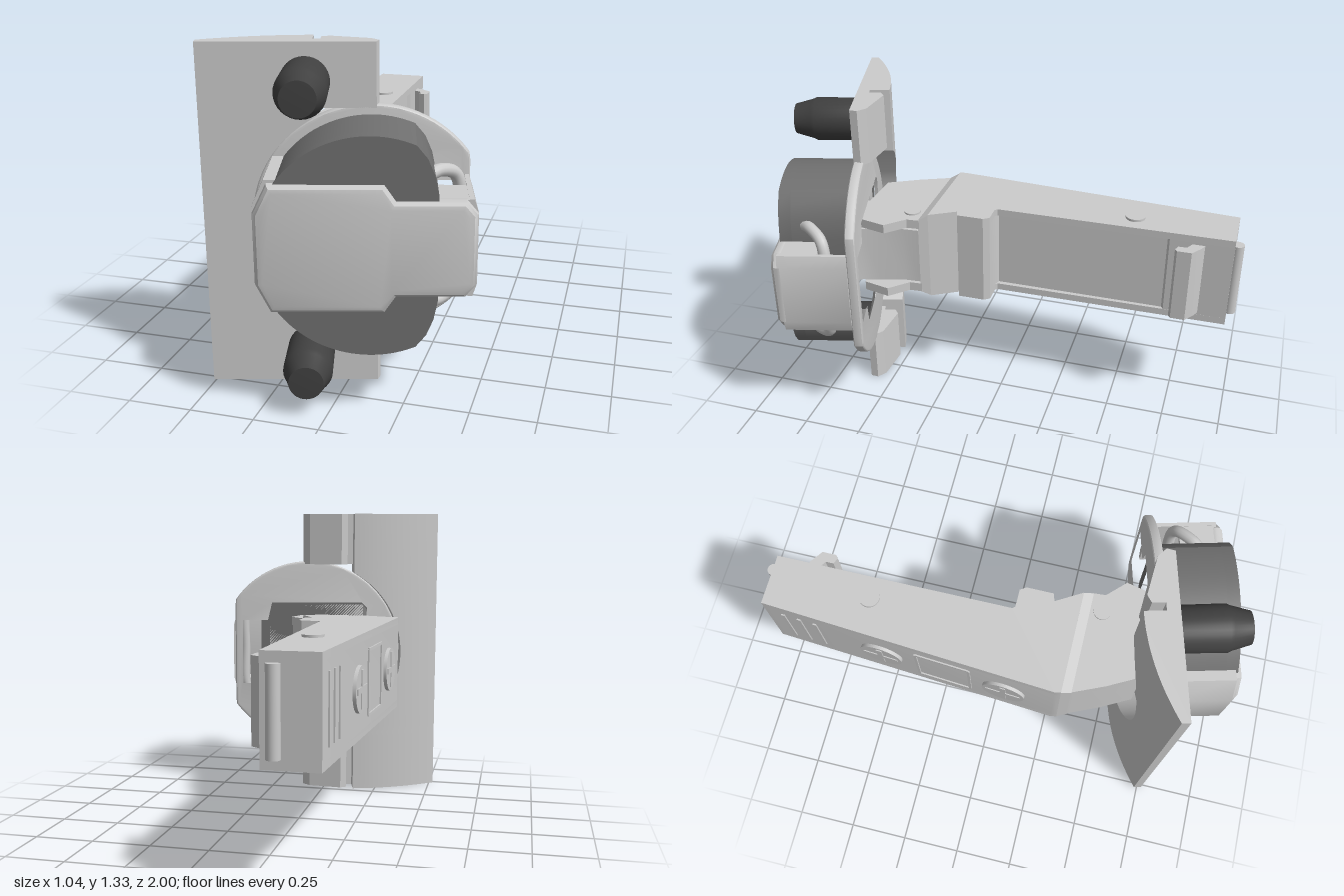
import * as THREE from 'three';
import { toCreasedNormals } from 'three/addons/utils/BufferGeometryUtils.js';
import { ConvexGeometry } from 'three/addons/geometries/ConvexGeometry.js';

const material = (color) => new THREE.MeshStandardMaterial({ color });
const grey = material(0xcccccc), cupGrey = material(0x707070), dark = material(0x404040);
const MID = 0.667; // height of the horizontal symmetry plane
const V = (x, y, z) => new THREE.Vector3(x, y, z);

function add(parent, name, geometry, mat = grey) {
  const mesh = new THREE.Mesh(geometry, mat);
  mesh.name = name;
  parent.add(mesh);
  return mesh;
}
const shapeOf = (pts) => new THREE.Shape(pts.map(([x, y]) => new THREE.Vector2(x, y)));

// Outline in plan (x, z), extruded upwards from y0 to y1
function slab(pts, y0, y1) {
  const g = new THREE.ExtrudeGeometry(shapeOf(pts.map(([x, z]) => [x, -z])), { depth: y1 - y0, bevelEnabled: false });
  return toCreasedNormals(g.rotateX(-Math.PI / 2).translate(0, y0, 0), 0.5);
}
// Outline in elevation (x, y about MID), extruded forwards from z0 to z1
function plate(pts, z0, z1, bevel = 0, hole = null) {
  const shape = shapeOf(pts);
  if (hole) shape.holes.push(shapeOf(hole));
  const g = new THREE.ExtrudeGeometry(shape, {
    depth: z1 - z0 - 2 * bevel, bevelEnabled: bevel > 0, bevelThickness: bevel,
    bevelSize: bevel, bevelOffset: -bevel, bevelSegments: 3,
  });
  return toCreasedNormals(g.translate(0, MID, z0 + bevel), 0.5);
}
// Upper half of an outline, listed left to right, completed by mirroring
const mirrored = (half) => [...half, ...half.map(([x, y]) => [x, -y]).reverse()];
const box = (x0, x1, y0, y1, z0, z1) =>
  new THREE.BoxGeometry(x1 - x0, y1 - y0, z1 - z0).translate((x0 + x1) / 2, (y0 + y1) / 2, (z0 + z1) / 2);
const post = (x, z, r, y0, y1) => new THREE.CylinderGeometry(r, r, y1 - y0, 24).translate(x, (y0 + y1) / 2, z);

// Domed flange: cross-sections stacked in y, its inner edge cut by the cup's circle
function domedFlange() {
  const rows = 72, n = 14, left = -0.692, pos = [];
  const ring = (k) => {
    const y = (1.333 * k) / rows, dy = y - MID;
    const e = Math.min(-0.28, -0.07 - Math.sqrt(Math.max(0, 0.44 ** 2 - dy * dy)));
    const pts = [V(left, y, 0.612), V(e, y, 0.612)];
    for (let i = 0; i <= n; i++) {
      const u = e + ((left - e) * i) / n;
      pts.push(V(u, y, 0.478 + 0.1 * ((-0.28 - u) / 0.41) ** 2));
    }
    return pts;
  };
  const tri = (...p) => p.forEach((v) => pos.push(v.x, v.y, v.z));
  for (let k = 0; k < rows; k++) {
    const a = ring(k), b = ring(k + 1);
    a.forEach((p, j) => {
      const m = (j + 1) % a.length;
      tri(p, a[m], b[m]);
      tri(p, b[m], b[j]);
    });
  }
  const low = ring(0), high = ring(rows);
  for (let j = 1; j < low.length - 1; j++) {
    tri(low[0], low[j + 1], low[j]);
    tri(high[0], high[j], high[j + 1]);
  }
  const g = new THREE.BufferGeometry();
  g.setAttribute('position', new THREE.Float32BufferAttribute(pos, 3));
  return toCreasedNormals(g, 0.5);
}

function createCup() {
  const cup = new THREE.Group();
  cup.name = 'cupAssembly';
  cup.rotation.y = Math.PI / 12;

  // Mounting flange, groove floor and the short raised strips
  add(cup, 'domedFlange', domedFlange());
  for (const [y0, y1] of [[0, 0.24], [1.094, 1.333]]) {
    add(cup, 'flangeStrip', slab([[-0.25, 0.612], [-0.05, 0.612], [-0.04, 0.58], [-0.07, 0.545], [-0.22, 0.495], [-0.25, 0.51]], y0, y1));
    add(cup, 'grooveFloor', box(-0.285, -0.245, y0, y1, 0.561, 0.612));
  }

  // Round collar with an open mouth
  const collar = [];
  for (let i = 0; i <= 40; i++) {
    const a = Math.PI * (1 - i / 40);
    collar.push([Math.min(0.29, -0.07 + 0.44 * Math.cos(a)), 0.44 * Math.sin(a)]);
  }
  add(cup, 'collar', plate(mirrored(collar.filter(([x], i) => i > 0 && (x < 0.29 || i < 34))), 0.57, 0.612, 0.01,
    mirrored([[-0.36, 0.22], [-0.33, 0.25], [0.12, 0.25], [0.14, 0.165], [0.265, 0.165]])));

  // Cup body: round with a flattened right side, hollow towards the back
  const half = [];
  for (let a = 175; a >= 66; a -= 3) {
    const t = (a * Math.PI) / 180;
    half.push([Math.max(-0.45, -0.07 + 0.403 * Math.cos(t)), 0.403 * Math.sin(t)]);
  }
  half.push([0.125, 0.325], [0.15, 0.265], [0.165, 0.19]);
  const outline = mirrored(half);
  const inner = outline.map(([x, y]) => [-0.12 + (x + 0.12) * 0.85, y * 0.85]);
  add(cup, 'cupWall', plate(outline, 0.605, 0.85, 0, inner), cupGrey);
  add(cup, 'cupFloor', plate(outline, 0.85, 0.9), cupGrey);

  // Bridge strap over the cup: front plate, left leg and right bracket
  add(cup, 'strapFront', plate(mirrored([[-0.472, 0.13], [-0.42, 0.237], [-0.02, 0.237], [0.02, 0.178], [0.26, 0.178], [0.3, 0.13]]), 0.85, 0.92, 0.03));
  add(cup, 'strapLeg', plate(mirrored([[-0.482, 0.13], [-0.43, 0.247], [-0.36, 0.247]]), 0.61, 0.89));
  add(cup, 'bracketWall', plate(mirrored([[0.268, 0.178], [0.285, 0.178], [0.3, 0.13]]), 0.61, 0.89));
  for (const s of [-1, 1]) {
    const y = MID + s * 0.165;
    add(cup, 'bracketCheek', box(0.16, 0.28, y - 0.012, y + 0.012, 0.73, 0.89));
  }

  // Bent spring pin inside the bracket
  const bend = [V(0.14, MID + 0.24, 0.795), V(0.17, MID + 0.245, 0.77), V(0.225, MID + 0.22, 0.72), V(0.245, MID + 0.17, 0.705)];
  const pin = [...bend, V(0.245, MID, 0.705), ...bend.map((p) => V(p.x, 2 * MID - p.y, p.z)).reverse()];
  add(cup, 'springPin', new THREE.TubeGeometry(new THREE.CatmullRomCurve3(pin), 48, 0.024, 12));

  // Tapered fixing dowels
  const profile = [[0, 0.6], [0.09, 0.6], [0.092, 0.8], [0.085, 0.815], [0.064, 0.89], [0, 0.893]].map(([r, z]) => new THREE.Vector2(r, z));
  for (const y of [0.142, 1.191]) {
    const g = new THREE.LatheGeometry(profile, 32).rotateX(Math.PI / 2).translate(-0.305, y, 0);
    add(cup, 'dowel', toCreasedNormals(g.toNonIndexed(), 0.5), dark);
  }
  return cup;
}

function createArm() {
  const arm = new THREE.Group();
  arm.name = 'hingeArm';
  const Y0 = 0.465, Y1 = 0.87;

  // Channel: two cheeks and a core slightly set back on the open side
  const front = [[-0.085, 0.04], [-0.075, 0.05], [0, 0.05], [0.017, 0.075], [0.017, 0.19], [-0.015, 0.2], [0.05, 0.31], [-0.385, 0.31], [-0.39, 0.285]];
  const cheek = [[-0.305, -0.965], [-0.09, -0.965], ...front];
  add(arm, 'lowerCheek', slab(cheek, Y0, Y0 + 0.03));
  add(arm, 'upperCheek', slab(cheek, Y1 - 0.03, Y1));
  add(arm, 'armCore', slab([[-0.305, -0.965], [-0.09, -0.965], [-0.09, -0.7], [-0.105, -0.69], [-0.105, 0.04], ...front.slice(1)], Y0 + 0.03, Y1 - 0.03));

  // Shoulder tapering to the neck
  const taper = [];
  for (const s of [-1, 1]) for (const [x, h, z] of [[-0.385, 0.2, 0.31], [0.05, 0.2, 0.31], [-0.37, 0.178, 0.35], [0.066, 0.178, 0.35]]) taper.push(V(x, MID + s * h, z));
  add(arm, 'shoulder', new ConvexGeometry(taper));

  // Neck cheeks, back wall and the links that reach into the cup
  const neck = [[-0.37, 0.345], [0.066, 0.345], [0.07, 0.4], [0.145, 0.475], [0.12, 0.59], [0, 0.62], [-0.24, 0.61], [-0.31, 0.48]];
  add(arm, 'neckCheek', slab(neck, 0.49, 0.53));
  add(arm, 'neckCheek', slab(neck, 0.805, 0.845));
  add(arm, 'neckWall', slab([[-0.37, 0.345], [-0.3, 0.345], [-0.25, 0.48], [-0.19, 0.61], [-0.24, 0.61], [-0.31, 0.48]], 0.53, 0.805));
  add(arm, 'outerLink', slab([[-0.22, 0.34], [-0.14, 0.34], [-0.09, 0.58], [-0.02, 0.77], [-0.08, 0.79], [-0.17, 0.6]], 0.54, 0.795));
  add(arm, 'innerLink', slab([[0.02, 0.34], [0.065, 0.35], [0.07, 0.42], [0.1, 0.52], [0.12, 0.6], [0.2, 0.72], [0.16, 0.75], [0.06, 0.61]], 0.54, 0.795));

  // Pivot pins
  add(arm, 'rearPivot', post(-0.18, -0.54, 0.042, 0.455, 0.88));
  add(arm, 'frontPivot', post(-0.005, 0.4, 0.036, 0.483, 0.852));

  // Rear release catch and end lip
  add(arm, 'catch', slab([[-0.1, -0.85], [-0.065, -0.835], [-0.015, -0.8], [-0.015, -0.74], [-0.028, -0.73], [-0.055, -0.74], [-0.055, -0.775], [-0.1, -0.8]], 0.505, 0.83));
  add(arm, 'endLip', post(-0.14, -0.975, 0.026, 0.505, 0.83));

  // Outer side face: adjusting screws, window frame and grip ribs
  const face = new THREE.Group();
  face.name = 'outerFace';
  face.position.set(-0.305, MID, -0.965);
  face.rotation.y = -0.068;
  arm.add(face);
  for (const z of [0.5, 1.04]) {
    add(face, 'screw', new THREE.CylinderGeometry(0.092, 0.092, 0.016, 32).rotateZ(Math.PI / 2).translate(-0.006, 0, z));
    for (const [h, w] of [[0.075, 0.012], [0.012, 0.075]]) add(face, 'screwCross', box(-0.018, 0, -h, h, z - w, z + w));
  }
  for (const s of [-1, 1]) {
    add(face, 'windowFrame', box(-0.006, 0.004, s * 0.13 - 0.006, s * 0.13 + 0.006, 0.66, 0.89));
    add(face, 'windowFrame', box(-0.006, 0.004, -0.13, 0.13, 0.775 + s * 0.115 - 0.006, 0.775 + s * 0.115 + 0.006));
  }
  for (const z of [0.08, 0.15, 0.22]) add(face, 'gripRib', box(-0.006, 0.004, -0.13, 0.13, z - 0.008, z + 0.008));
  return arm;
}

export function createModel() {
  const model = new THREE.Group();
  model.name = 'concealedHinge';
  model.add(createCup(), createArm());
  return model;
}
